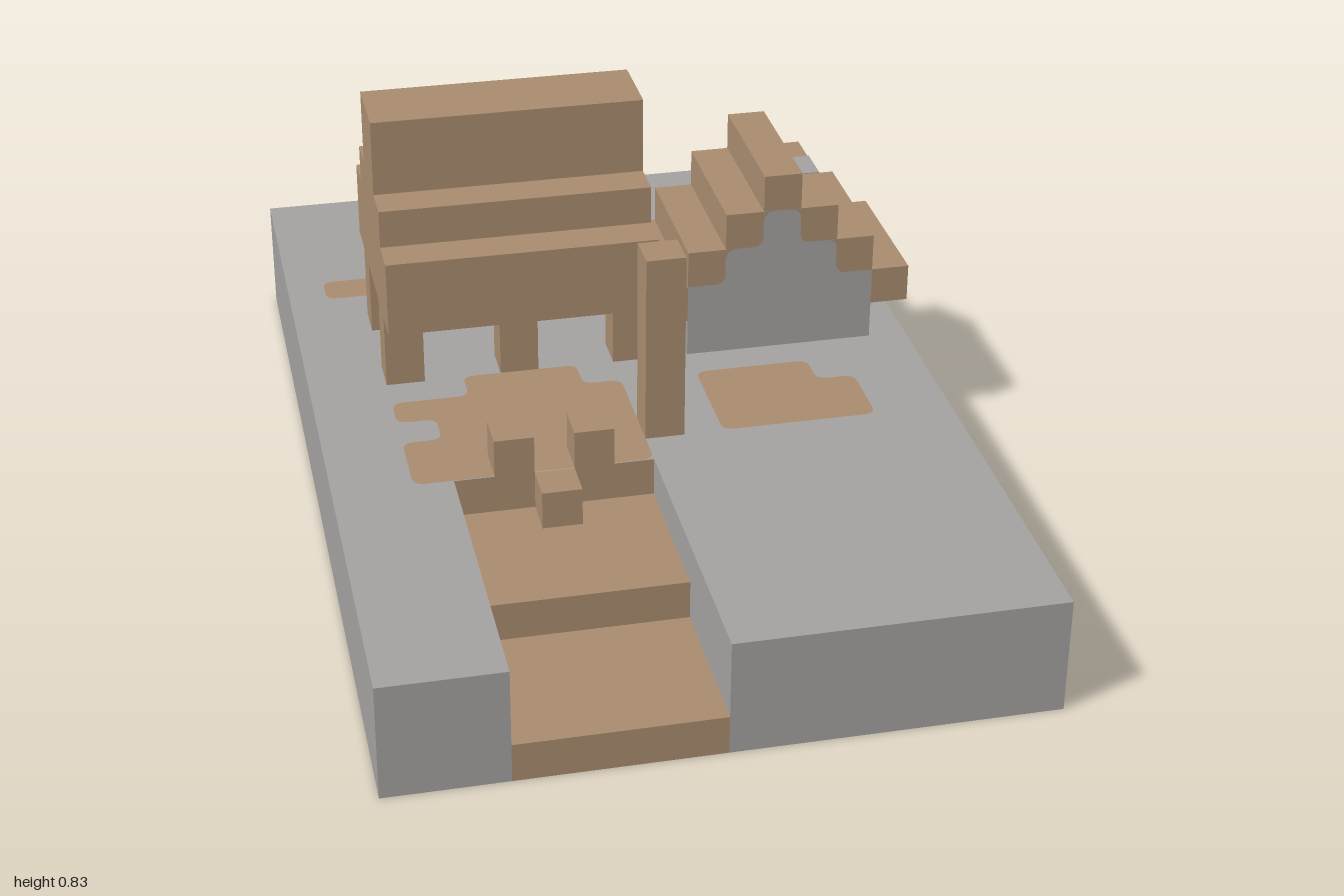
import * as THREE from 'three';

const U = 1 / 12; // one block
const gray = new THREE.MeshStandardMaterial({ color: 0xa3a19f, side: THREE.DoubleSide });
gray.name = 'stone gray';
const brown = new THREE.MeshStandardMaterial({ color: 0xa88b6f, side: THREE.DoubleSide });
brown.name = 'earth brown';

export function createModel() {
  const model = new THREE.Group();
  model.name = 'campDiorama';

  const add = (name, geometry, material) => {
    const mesh = new THREE.Mesh(geometry, material);
    mesh.name = name;
    model.add(mesh);
    return mesh;
  };

  // Box from ranges in block units; open boxes have no bottom face
  const box = (name, material, [x0, x1], [y0, y1], [z0, z1], open = false, grow = 0) => {
    const g = new THREE.BoxGeometry((x1 - x0) * U + grow, (y1 - y0) * U + grow, (z1 - z0) * U + grow);
    if (open) {
      const index = Array.from(g.index.array);
      index.splice(18, 6);
      g.setIndex(index);
      g.clearGroups();
    }
    g.translate((x0 + x1) / 2 * U, (y0 + y1) / 2 * U, (z0 + z1) / 2 * U);
    return add(name, g, material);
  };

  // Upright panels facing front or back (dir +-1), and left or right
  const panelZ = (name, material, [x0, x1], [y0, y1], z, dir = 1) => {
    const g = new THREE.PlaneGeometry((x1 - x0) * U, (y1 - y0) * U);
    if (dir < 0) g.rotateY(Math.PI);
    g.translate((x0 + x1) / 2 * U, (y0 + y1) / 2 * U, z * U);
    add(name, g, material);
  };
  const panelX = (name, material, x, [y0, y1], [z0, z1], dir = 1) => {
    const g = new THREE.PlaneGeometry((z1 - z0) * U, (y1 - y0) * U);
    g.rotateY(dir * Math.PI / 2);
    g.translate(x * U, (y0 + y1) / 2 * U, (z0 + z1) / 2 * U);
    add(name, g, material);
  };

  // Outline with rounded corners, in block units
  const rounded = (pts, r) => {
    const shape = new THREE.Shape();
    const v = pts.map(([x, y]) => new THREE.Vector2(x * U, y * U));
    v.forEach((p, i) => {
      const toward = (q) => q.clone().sub(p).setLength(r * U).add(p);
      const a = toward(v[(i + v.length - 1) % v.length]);
      const b = toward(v[(i + 1) % v.length]);
      if (i) shape.lineTo(a.x, a.y); else shape.moveTo(a.x, a.y);
      shape.quadraticCurveTo(p.x, p.y, b.x, b.y);
    });
    shape.closePath();
    return shape;
  };
  const flat = (name, shape, y, material) => {
    const g = new THREE.ShapeGeometry(shape, 4);
    g.rotateX(-Math.PI / 2);
    g.translate(0, y, 0);
    return add(name, g, material);
  };
  const path = (pts, Type) => new Type(pts.map(([x, z]) => new THREE.Vector2(x * U, -z * U)));

  // Ground with a sunken entry and openings under the hollow parts
  const legs = [];
  for (const x of [-6, -3, 0]) for (const z of [-5, -2]) legs.push([x, z]);
  const ground = path([[-8, 12], [-5, 12], [-5, 4], [0, 4], [0, 12], [8, 12], [8, -12], [-8, -12]], THREE.Shape);
  const hole = (x0, x1, z0, z1) =>
    ground.holes.push(path([[x0, z0], [x1, z0], [x1, z1], [x0, z1]], THREE.Path));
  for (const [x, z] of [...legs, [0, 2]]) hole(x, x + 1, z, z + 1);
  hole(2, 7, -5, -1);
  flat('ground', ground, 3 * U, gray);

  // Outer walls of the base
  panelX('baseLeftWall', gray, 8, [0, 3], [-12, 12], 1);
  panelX('baseRightWall', gray, -8, [0, 3], [-12, 12], -1);
  panelZ('baseBackWall', gray, [-8, 8], [0, 3], -12, -1);
  panelZ('baseFrontWall', gray, [-8, -5], [0, 3], 12);
  panelZ('baseFrontWall', gray, [0, 8], [0, 3], 12);

  // Low inner rim under the base
  for (const s of [-1, 1]) panelX('innerRim', gray, 7 * s, [0, 1], [-11, 11], s);
  panelZ('innerRim', gray, [-7, 7], [0, 1], -11, -1);
  panelZ('innerRim', gray, [-7, -5], [0, 1], 11);
  panelZ('innerRim', gray, [0, 7], [0, 1], 11);

  // Entry steps with their side walls
  [[1, 8, 12], [2, 4, 8]].forEach(([y, z0, z1]) => {
    panelZ('stepRiser', brown, [-5, 0], [y - 1, y], z1);
    flat('stepTread', path([[-5, z1], [0, z1], [0, z0], [-5, z0]], THREE.Shape), y * U, brown);
    panelX('trenchWall', gray, -5, [y, 3], [z0, z1], 1);
    panelX('trenchWall', gray, 0, [y, 3], [z0, z1], -1);
  });
  panelZ('stepRiser', brown, [-5, 0], [2, 3], 4);

  // Bare earth patches, painted on both faces of the ground
  const patches = [
    [[-6, 4], [0, 4], [0, 0], [-1, 0], [-1, -1], [-4, -1], [-4, 0], [-6, 0], [-6, 1], [-5, 1], [-5, 2], [-6, 2]],
    [[-7, -5], [0, -5], [0, -8], [-1, -8], [-1, -10], [-2, -10], [-2, -8], [-3, -8], [-3, -7], [-7, -7]]
      .map(([x, z]) => [x, z === -5 ? -6 : z]),
    [[2, 3], [6, 3], [6, 1], [5, 1], [5, 0], [2, 0]],
    [[-4, -8], [-3, -8], [-3, -9], [-4, -9]],
    [[6, -7], [7, -7], [7, -8], [6, -8]],
    [[2, -6], [5, -6], [5, -7], [2, -7]],
  ];
  patches.forEach((pts) => {
    const shape = rounded(pts.map(([x, z]) => [x, -z]), 0.3);
    for (const dy of [-0.0015, 0.0015]) flat('earthPatch', shape, 3 * U + dy, brown);
  });

  // Raised hut: legs and stepped roof
  legs.forEach(([x, z]) => box('hutLeg', brown, [x, x + 1], [3, 5], [z, z + 1], true));
  box('hutLowerRoof', brown, [-6, 1], [5, 7], [-6, 0]);
  box('hutMiddleRoof', brown, [-6, 1], [7, 8], [-5, -1]);
  box('hutUpperRoof', brown, [-6, 1], [8, 10], [-4, -2]);

  // Post, entry blocks and the log behind
  box('post', brown, [0, 1], [3, 8], [2, 3], true);
  box('entryBlock', brown, [-4, -3], [3, 4], [3, 4]);
  box('entryBlock', brown, [-2, -1], [3, 4], [3, 4]);
  box('lowEntryBlock', brown, [-3, -2], [2, 3], [4, 5]);
  box('log', brown, [1, 4], [3, 4], [-7, -6]);

  // Tent: hollow core, stepped roof and gable plates
  box('tentWalls', gray, [2, 7], [3, 5], [-5, -1], true);
  box('tentCore', gray, [3, 6], [5, 6], [-5, -1]);
  box('tentCore', gray, [4, 5], [6, 7], [-5, -1]);
  for (let i = 0; i < 7; i++) {
    const y = 7 - Math.abs(i - 3);
    box('tentRoofStep', brown, [i + 1, i + 2], [y, y + 1], [-5, -1]);
  }
  // Rounded earth and stone meeting on the gables
  const corner = (x, y, sx, sy, material) => {
    const s = new THREE.Shape();
    const r = 0.3;
    s.moveTo(x * U, y * U);
    s.lineTo((x + sx * r) * U, y * U);
    s.quadraticCurveTo(x * U, y * U, x * U, (y + sy * r) * U);
    s.closePath();
    for (const z of [-1 * U + 0.002, -5 * U - 0.002]) {
      add('gableCorner', new THREE.ShapeGeometry(s, 4).translate(0, 0, z), material);
    }
  };
  for (const m of [1, -1]) {
    const x = (d) => 4.5 + m * d;
    for (const [d, y] of [[0.5, 7], [1.5, 6]]) corner(x(d), y, -m, -1, brown);
    for (const [d, y] of [[0.5, 6], [1.5, 5]]) corner(x(d), y, m, 1, gray);
  }
  box('roofStone', gray, [5, 6], [6, 7], [-4, -3], false, 0.004);

  return model;
}
